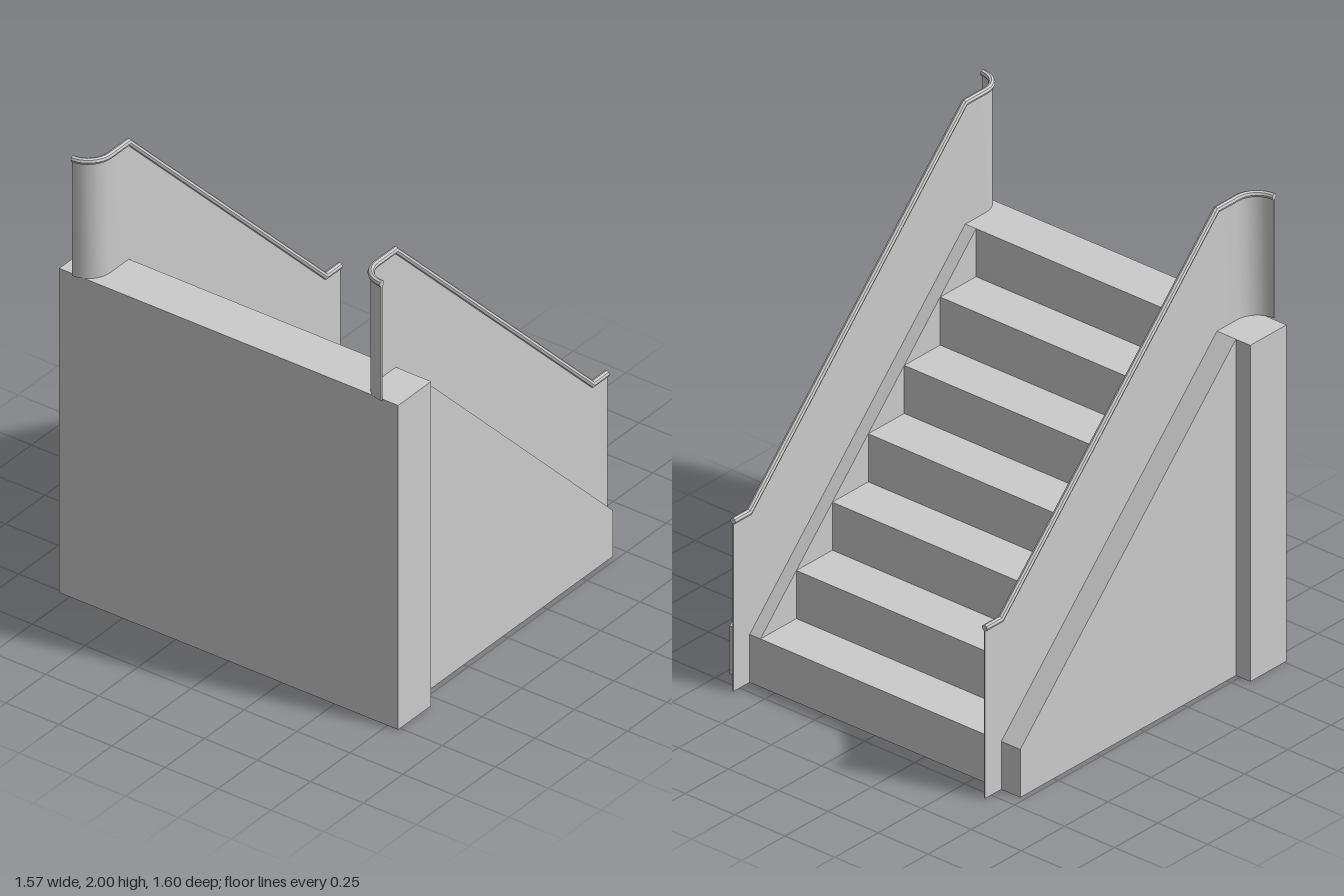
import * as THREE from 'three';
import { toCreasedNormals } from 'three/addons/utils/BufferGeometryUtils.js';

const BACK = -0.762, TOP_X = -0.553, FOOT_X = 0.692, END_X = 0.785;
const DECK_Y = 1.46, STEPS = 7, RISE = DECK_Y / STEPS, RUN = (FOOT_X - TOP_X) / (STEPS - 1);
const INNER_Z = 0.573, OUTER_Z = 0.728;
const RAIL_Z = 0.63, BEND = 0.1, RAIL_R = 0.0135, PANEL_T = 0.006, RAIL_SIDES = 8;

const material = new THREE.MeshStandardMaterial({ color: 0xcccccc, flatShading: true });
const smooth = new THREE.MeshStandardMaterial({ color: 0xcccccc });

function add(group, name, geometry, mat = material) {
  const mesh = new THREE.Mesh(geometry, mat);
  mesh.name = name;
  group.add(mesh);
}

// Extrudes an x-y outline between two z values
function slab(points, z0, z1) {
  const shape = new THREE.Shape(points.map(([x, y]) => new THREE.Vector2(x, y)));
  return new THREE.ExtrudeGeometry(shape, { depth: z1 - z0, bevelEnabled: false }).translate(0, 0, z0);
}

// Closed skin through rings of equal point count, capped at both ends
function loft(rings) {
  const n = rings[0].length, end = (rings.length - 1) * n, index = [];
  for (let i = n; i <= end; i += n) {
    for (let k = 0; k < n; k++) {
      const b = i + k, c = i + (k + 1) % n;
      index.push(b - n, b, c - n, c - n, b, c);
    }
  }
  for (let k = 1; k < n - 1; k++) index.push(0, k, k + 1, end, end + k + 1, end + k);
  const g = new THREE.BufferGeometry().setFromPoints(rings.flat());
  g.setIndex(index);
  return toCreasedNormals(g, 0.6);
}

// Stations along one balustrade: rail centre, panel bottom, sideways and mitred upward directions
function stations(s) {
  const list = [
    [END_X, 0.7385, s * RAIL_Z, 0],
    [FOOT_X, 0.7385, s * RAIL_Z, 0],
    [TOP_X, 1.9865, s * RAIL_Z, DECK_Y],
  ];
  for (let i = 0; i <= 8; i++) {
    const a = (i / 8) * Math.PI / 2;
    list.push([-0.672 - BEND * Math.sin(a), 1.9865, s * (RAIL_Z + BEND * (1 - Math.cos(a))), DECK_Y]);
  }
  const pts = list.map(([x, y, z]) => new THREE.Vector3(x, y, z));
  const dir = (i) => pts[i + 1].clone().sub(pts[i]).normalize();
  return pts.map((point, i) => {
    const before = dir(Math.max(i - 1, 0)), after = dir(Math.min(i, pts.length - 2));
    const t = before.clone().add(after).normalize();
    const side = t.clone().cross(new THREE.Vector3(0, 1, 0)).normalize();
    const lift = side.clone().cross(t).divideScalar(t.dot(before));
    return { point, low: list[i][3], side, lift };
  });
}

// Thin upright wall from the panel bottom to the rail centre
const panel = (list) => loft(list.map(({ point, low, side }) =>
  [[1, low], [1, point.y], [-1, point.y], [-1, low]].map(([d, y]) =>
    point.clone().setY(y).addScaledVector(side, d * PANEL_T / 2))));

// Eight-sided handrail with mitred bends
const rail = (list) => loft(list.map(({ point, side, lift }) =>
  Array.from({ length: RAIL_SIDES }, (_, k) => {
    const a = (k / RAIL_SIDES) * Math.PI * 2;
    return point.clone()
      .addScaledVector(side, RAIL_R * Math.cos(a))
      .addScaledVector(lift, RAIL_R * Math.sin(a));
  })));

export function createModel() {
  const model = new THREE.Group();
  model.name = 'staircase';

  // Solid flight of steps
  const profile = [[TOP_X, 0], [FOOT_X, 0]];
  for (let i = 0; i < STEPS - 1; i++) {
    profile.push([FOOT_X - i * RUN, (i + 1) * RISE], [FOOT_X - (i + 1) * RUN, (i + 1) * RISE]);
  }
  add(model, 'steps', slab(profile, -INNER_Z, INNER_Z));

  // Top landing block
  add(model, 'landing', slab([[BACK, 0], [TOP_X, 0], [TOP_X, DECK_Y], [BACK, DECK_Y]], -0.8, 0.8));

  // Sloped side blocks, wall panels and handrails
  const slope = [[TOP_X, 0], [FOOT_X, 0], [FOOT_X, RISE], [TOP_X, DECK_Y]];
  for (const s of [1, -1]) {
    const side = new THREE.Group();
    side.name = s > 0 ? 'leftSide' : 'rightSide';
    const [z0, z1] = s > 0 ? [INNER_Z, OUTER_Z] : [-OUTER_Z, -INNER_Z];
    add(side, 'stringer', slab(slope, z0, z1));
    const list = stations(s);
    add(side, 'balustradePanel', panel(list), smooth);
    add(side, 'handrail', rail(list), smooth);
    model.add(side);
  }
  return model;
}
